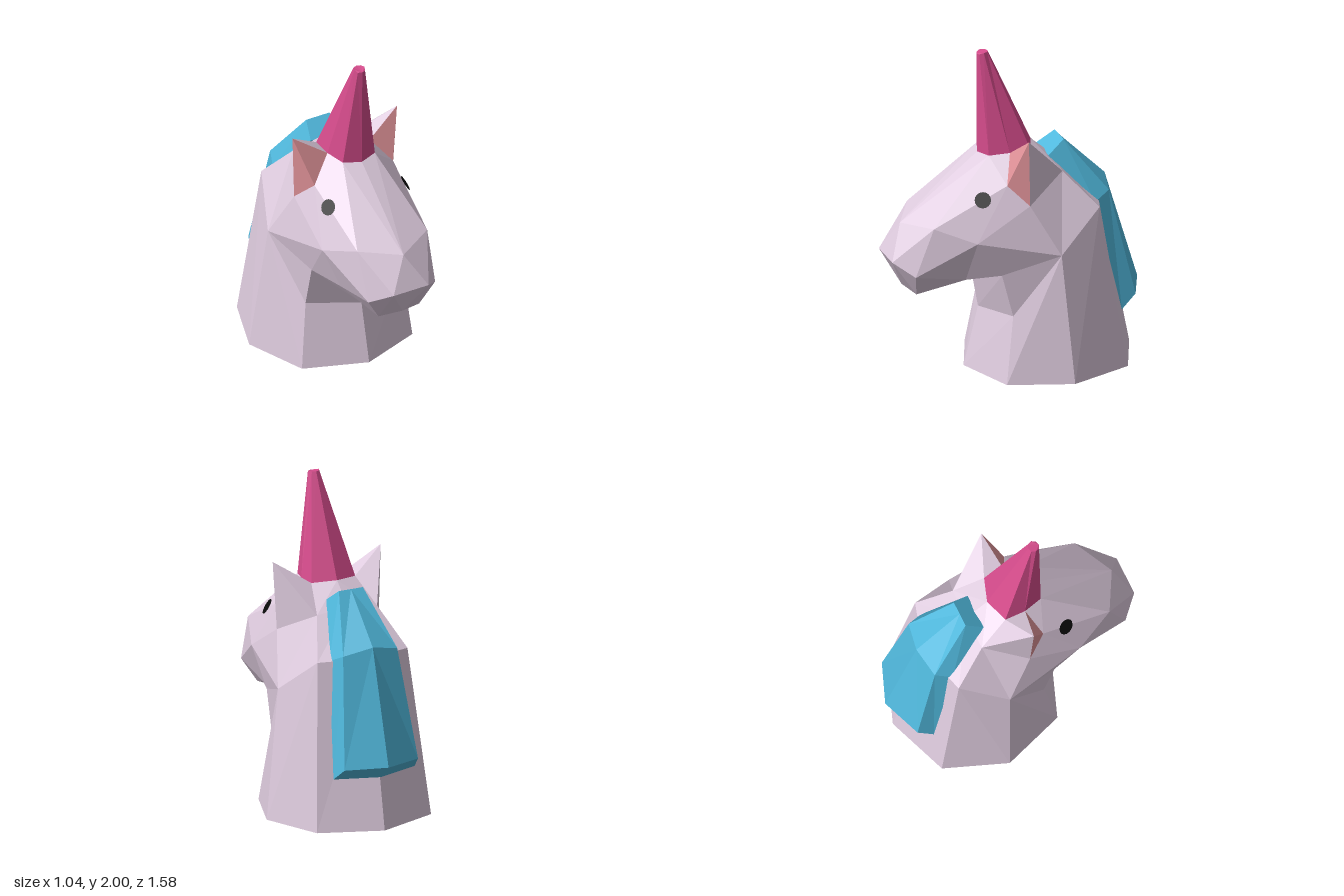
import * as THREE from 'three';

// One colour, one material
const makeMaterial = (name, color) => {
  const m = new THREE.MeshStandardMaterial({ color, flatShading: true });
  m.name = name;
  return m;
};

// Key points of the +x half: [x, y, z]
const P = {
  // neck base, from chest to back
  B0: [0, 0, 0.3], B1: [0.38, 0, 0.16], B2: [0.52, 0.01, -0.22], B3: [0.38, 0.02, -0.6], B4: [0, 0.02, -0.74],
  // neck top
  N0: [0, 0.37, 0.21], N1: [0.32, 0.41, 0.1], N2: [0.42, 0.8, -0.17], N3: [0.3, 1.03, -0.45], N4: [0, 1.04, -0.54],
  // throat, jaw and chin
  T0: [0, 0.59, 0.25], T1: [0.32, 0.68, 0.17], J1: [0.24, 0.65, 0.37],
  C0: [0, 0.51, 0.56], C1: [0.14, 0.555, 0.645], D0: [0, 0.575, 0.69],
  // mouth, nose and cheek
  M0: [0, 0.77, 0.79], M1: [0.12, 0.77, 0.79], K1: [0.23, 0.7, 0.68],
  S0: [0, 0.97, 0.7], S1: [0.24, 1.0, 0.57], Q1: [0.34, 0.91, 0.33],
  // ear foot and tip, back of head
  E1: [0.34, 1.11, 0], G1: [0.27, 1.23, 0.12], A1: [0.36, 1.53, 0.015],
  P1: [0.2, 1.25, -0.25], R0: [0, 1.28, -0.26],
  // horn foot, front to back
  H0: [0, 1.36, 0.215], H1: [0.11, 1.37, 0.18], H2: [0.146, 1.385, 0.06], H3: [0.146, 1.39, -0.07], H4: [0, 1.4, -0.12],
  // horn tip
  X0: [0, 1.99, 0.22], X1: [0.025, 1.99, 0.21], X2: [0.035, 2, 0.185], X3: [0.025, 2, 0.16], X4: [0, 2, 0.15],
};

// Mane sections a (bottom) to c (top): outer centre, outer side, inner side, inner centre
const maneSections = {
  a: [[0, 0.43, -0.79], [0.245, 0.42, -0.695], [0.27, 0.34, -0.6], [0, 0.34, -0.69]],
  b: [[0, 1.12, -0.585], [0.18, 1.08, -0.55], [0.22, 1.03, -0.45], [0, 1.0, -0.5]],
  c: [[0, 1.4, -0.3], [0.08, 1.4, -0.3], [0.11, 1.32, -0.195], [0, 1.32, -0.195]],
};
for (const [s, pts] of Object.entries(maneSections)) pts.forEach((p, i) => { P[s + i] = p; });

// Hollow underside: inner rim (W) and ceiling ring (V) follow the neck base
for (let i = 0; i < 5; i++) {
  const [x, y, z] = P['B' + i];
  P['W' + i] = [x * 0.92, y, -0.22 + (z + 0.22) * 0.92];
  P['V' + i] = [x * 0.62, 0.28, -0.22 + (z + 0.22) * 0.62];
}
P.U0 = [0, 0.32, -0.22];

// Faceted mesh from faces of the +x half, mirrored to the other side
function facetedMesh(name, faces, material, mirror = [1, -1]) {
  const pos = [];
  for (const s of mirror) {
    for (const face of faces) {
      const pts = face.split(' ').map((k) => P[k]);
      for (let i = 1; i < pts.length - 1; i++) {
        const tri = s > 0 ? [pts[0], pts[i], pts[i + 1]] : [pts[0], pts[i + 1], pts[i]];
        tri.forEach(([x, y, z]) => pos.push(s * x, y, z));
      }
    }
  }
  const g = new THREE.BufferGeometry();
  g.setAttribute('position', new THREE.Float32BufferAttribute(pos, 3));
  g.computeVertexNormals();
  const mesh = new THREE.Mesh(g, material);
  mesh.name = name;
  return mesh;
}

export function createModel() {
  const coat = makeMaterial('pale lilac coat', 0xdecbde);
  const earPink = makeMaterial('ear pink', 0xe4959b);
  const magenta = makeMaterial('horn magenta', 0xd64c8c);
  const blue = makeMaterial('mane blue', 0x50b8dc);
  const black = makeMaterial('eye black', 0x0a0a0a);

  const model = new THREE.Group();
  model.name = 'unicornBust';

  // Neck
  model.add(facetedMesh('neck', [
    'B0 B1 N1 N0', 'B1 B2 N2 N1', 'B2 B3 N3 N2', 'B3 B4 N4 N3',
    'N0 N1 T1 T0', 'N1 N2 T1', 'T1 N2 Q1', 'Q1 N2 E1',
    'E1 N2 P1', 'N2 N3 P1', 'N3 N4 R0 P1',
  ], coat));

  // Head
  model.add(facetedMesh('head', [
    'T0 T1 J1', 'C0 T0 J1', 'C0 J1 C1', 'C0 C1 D0',
    'J1 T1 Q1', 'J1 Q1 K1', 'C1 J1 K1', 'C1 K1 M1', 'D0 C1 M1', 'D0 M1 M0',
    'M0 M1 S0', 'M1 S1 S0', 'M1 K1 S1', 'K1 Q1 S1',
    'Q1 E1 G1', 'Q1 G1 S1', 'S1 G1 H1', 'S0 S1 H1 H0', 'H1 G1 H2',
    'P1 R0 H4 H3',
  ], coat));

  // Ears: coat outside, pink inside
  for (const [side, s] of [['left', 1], ['right', -1]]) {
    const ear = new THREE.Group();
    ear.name = side + 'Ear';
    ear.add(facetedMesh('earBack', ['E1 P1 A1', 'P1 H3 A1', 'H3 H2 A1'], coat, [s]));
    ear.add(facetedMesh('earInside', ['H2 G1 A1', 'G1 E1 A1'], earPink, [s]));
    model.add(ear);
  }

  // Hollow underside with a narrow rim
  const hollow = [];
  for (let i = 0, j = 1; j < 5; i++, j++) {
    hollow.push(`B${j} B${i} W${i} W${j}`, `W${j} W${i} V${i} V${j}`, `V${j} V${i} U0`);
  }
  model.add(facetedMesh('hollowBase', hollow, coat));

  // Horn
  const horn = ['X0 X1 X2 X3 X4'];
  for (let i = 0; i < 4; i++) horn.push(`H${i} H${i + 1} X${i + 1} X${i}`);
  model.add(facetedMesh('horn', horn, magenta));

  // Mane
  const mane = ['a3 a0 a1 a2', 'c2 c1 c0 c3'];
  for (const [lo, hi] of ['ab', 'bc']) {
    mane.push(`${lo}2 ${lo}1 ${hi}1 ${hi}2`, `${lo}1 ${lo}0 ${hi}0 ${hi}1`, `${lo}3 ${lo}2 ${hi}2 ${hi}3`);
  }
  model.add(facetedMesh('mane', mane, blue));

  // Eyes: thin discs resting on the brow edge
  for (const [side, s] of [['left', 1], ['right', -1]]) {
    const normal = new THREE.Vector3(s * 0.8, 0.52, 0.3).normalize();
    const eye = new THREE.Mesh(new THREE.CircleGeometry(0.049, 16), black);
    eye.name = side + 'Eye';
    eye.position.set(s * 0.261, 1.154, 0.27).addScaledVector(normal, 0.006);
    eye.quaternion.setFromUnitVectors(new THREE.Vector3(0, 0, 1), normal);
    model.add(eye);
  }

  return model;
}
